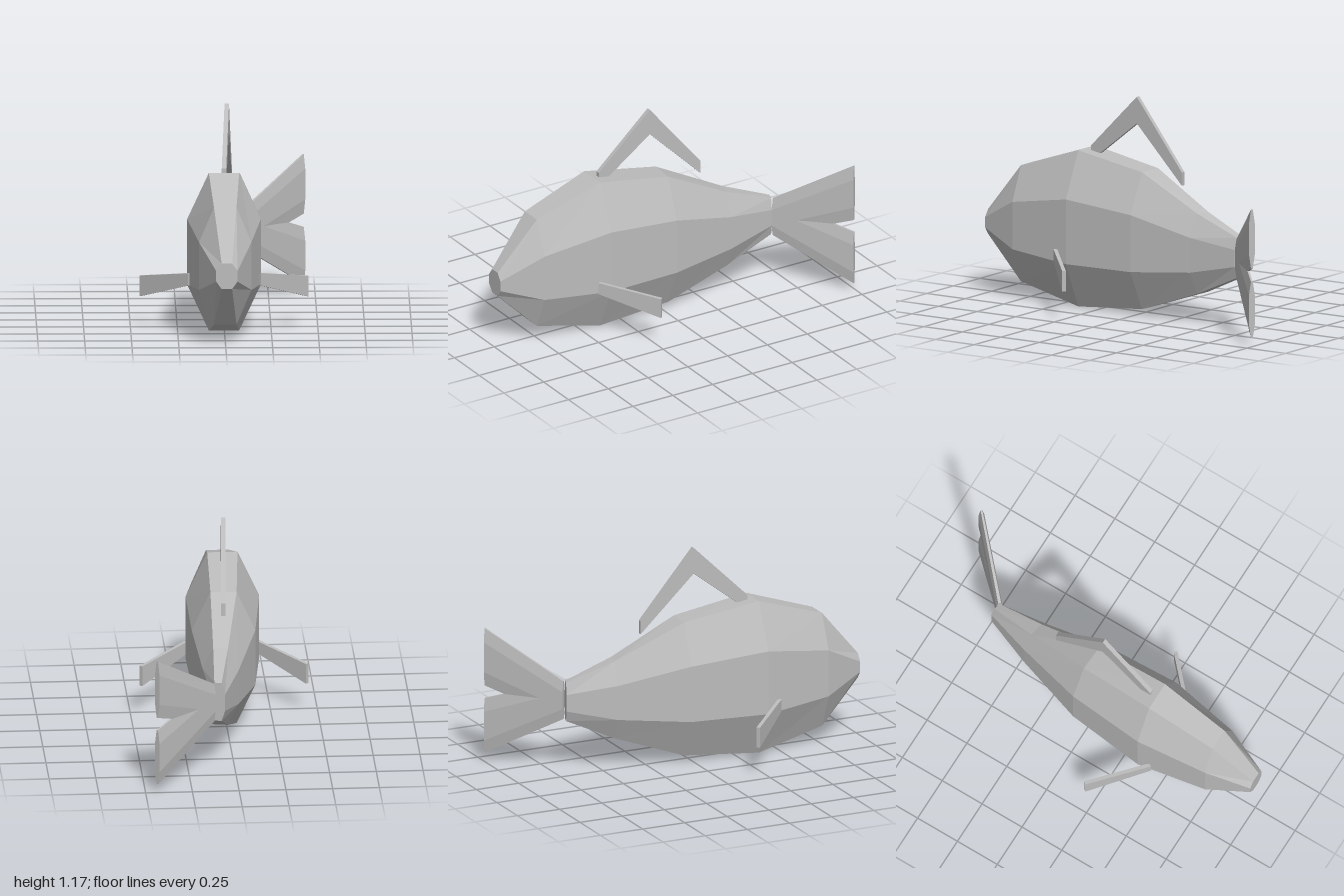
import * as THREE from 'three';

const skin = new THREE.MeshStandardMaterial({ color: 0xbcbcbc, flatShading: true });
skin.name = 'grey skin';

// Octagonal section: half width w, half width t of its top and bottom flats, turned about y
function octagon(x, z, w, t, top, upper, lower, bottom, turn = 0) {
  return [[t, top], [-t, top], [-w, upper], [-w, lower], [-t, bottom], [t, bottom], [w, lower], [w, upper]]
    .map(([u, y]) => new THREE.Vector3(x + u * Math.cos(turn), y, z + u * Math.sin(turn)));
}

// Rectangular section for the thin side fins
function rectangle(x, z, w, top, bottom, turn) {
  return [[w, top], [-w, top], [-w, bottom], [w, bottom]]
    .map(([u, y]) => new THREE.Vector3(x + u * Math.cos(turn), y, z + u * Math.sin(turn)));
}

// Skin a row of sections, front to back, and close both ends
function loft(name, rings) {
  const pos = [];
  const tri = (a, b, c) => pos.push(...a.toArray(), ...b.toArray(), ...c.toArray());
  const n = rings[0].length;
  for (let i = 0; i < rings.length - 1; i++) {
    for (let j = 0; j < n; j++) {
      const k = (j + 1) % n, p = rings[i], q = rings[i + 1];
      tri(p[j], q[j], q[k]);
      tri(p[j], q[k], p[k]);
    }
  }
  const first = rings[0], last = rings[rings.length - 1];
  for (let j = 1; j < n - 1; j++) {
    tri(first[0], first[j], first[j + 1]);
    tri(last[0], last[j + 1], last[j]);
  }
  const geo = new THREE.BufferGeometry();
  geo.setAttribute('position', new THREE.Float32BufferAttribute(pos, 3));
  geo.computeVertexNormals();
  const mesh = new THREE.Mesh(geo, skin);
  mesh.name = name;
  return mesh;
}

export function createModel() {
  const group = new THREE.Group();
  group.name = 'fish';

  // Body, bending towards its left at the rear
  group.add(loft('body', [
    octagon(0.006, 1.0, 0.057, 0.028, 0.457, 0.417, 0.36, 0.32),
    octagon(0, 0.77, 0.14, 0.06, 0.725, 0.538, 0.28, 0.093),
    octagon(-0.002, 0.385, 0.197, 0.081, 0.853, 0.604, 0.252, 0.003),
    octagon(0.02, -0.04, 0.17, 0.07, 0.783, 0.565, 0.255, 0.038, 0.06),
    octagon(0.06, -0.41, 0.097, 0.04, 0.6, 0.477, 0.287, 0.165, 0.2),
    octagon(0.092, -0.677, 0.04, 0.02, 0.5, 0.438, 0.345, 0.285, 0.33),
  ]));

  // Tail: two lobes sharing one root and crossing at the notch
  const quarter = Math.PI / 4;
  const root = () => octagon(0.117, -0.677, 0.017, 0.008, 0.497, 0.437, 0.343, 0.285, quarter);
  group.add(loft('upperTailLobe', [root(), octagon(0.437, -0.989, 0.016, 0.005, 0.745, 0.668, 0.502, 0.424, quarter)]));
  group.add(loft('lowerTailLobe', [root(), octagon(0.437, -0.989, 0.016, 0.005, 0.353, 0.28, 0.118, 0.047, quarter)]));

  // Side fins, swept out and back
  for (const side of [1, -1]) {
    const tipZ = side > 0 ? 0.225 : 0.205;
    group.add(loft(side > 0 ? 'leftFin' : 'rightFin', [
      rectangle(side * 0.188, 0.458, 0.01, 0.324, 0.258, side * quarter),
      rectangle(side * 0.444, tipZ, 0.01, 0.274, 0.162, side * quarter),
    ]));
  }

  // Back fin: a bent strip extruded across x, then sheared to follow the body's bend
  const shape = new THREE.Shape([[0.35, 0.872], [0.04, 1.175], [-0.265, 0.8], [-0.265, 0.728], [0.04, 1.03], [0.35, 0.79]]
    .map(([z, y]) => new THREE.Vector2(-z, y)));
  const finGeo = new THREE.ExtrudeGeometry(shape, { depth: 0.024, bevelEnabled: false });
  finGeo.translate(0, 0, -0.012).rotateY(Math.PI / 2);
  const p = finGeo.attributes.position;
  for (let i = 0; i < p.count; i++) p.setX(i, p.getX(i) + 0.017 - 0.06 * (p.getZ(i) - 0.04));
  finGeo.computeVertexNormals();
  const backFin = new THREE.Mesh(finGeo, skin);
  backFin.name = 'backFin';
  group.add(backFin);

  return group;
}
